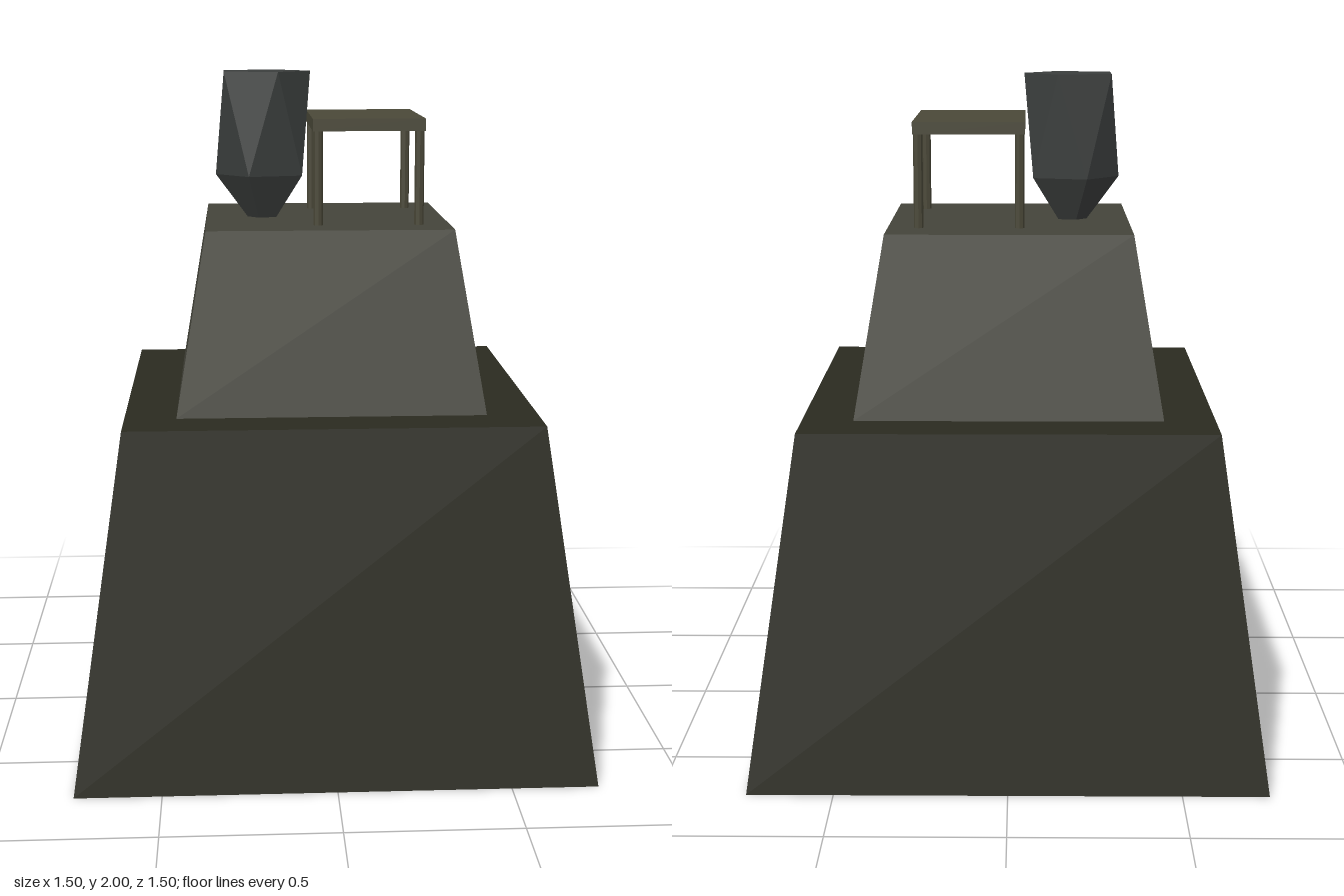
import * as THREE from 'three';
import { ConvexGeometry } from 'three/addons/geometries/ConvexGeometry.js';

const material = (color) => new THREE.MeshStandardMaterial({ color, flatShading: true });

function addMesh(parent, name, geometry, mat, x, y, z) {
  const mesh = new THREE.Mesh(geometry, mat);
  mesh.name = name;
  mesh.position.set(x, y, z);
  parent.add(mesh);
  return mesh;
}

// Square block tapering from half-width `bottom` to half-width `top`
function taperedBlock(bottom, top, height) {
  const r = Math.SQRT2;
  return new THREE.CylinderGeometry(top * r, bottom * r, height, 4, 1, false, Math.PI / 4);
}

// Faceted stone: two offset pentagons, flat on top, pointed below
function stoneGeometry(rx, rz, topY, midY, tipY) {
  const points = [new THREE.Vector3(0, tipY, 0)];
  for (let i = 0; i < 5; i++) {
    const a = (i / 5) * Math.PI * 2;
    points.push(new THREE.Vector3(Math.cos(a) * rx, topY, Math.sin(a) * rz));
    points.push(new THREE.Vector3(-Math.cos(a) * rx, midY, Math.sin(a) * rz));
  }
  return new ConvexGeometry(points);
}

export function createModel() {
  const model = new THREE.Group();
  model.name = 'steppedPedestal';

  // Stepped base
  addMesh(model, 'lowerBlock', taperedBlock(0.75, 0.6, 1.03), material(0x2a2a20), 0, 0.515, 0);
  addMesh(model, 'upperBlock', taperedBlock(0.45, 0.36, 0.53), material(0x44443a), 0, 1.295, 0);

  // Small table
  const table = new THREE.Group();
  table.name = 'table';
  table.position.set(0.119, 1.56, 0.009);
  model.add(table);
  const wood = material(0x4a4838);
  addMesh(table, 'tableTop', new THREE.BoxGeometry(0.33, 0.036, 0.472), wood, 0, 0.293, 0);
  const legGeometry = new THREE.CylinderGeometry(0.014, 0.014, 0.28, 8);
  for (const sx of [-1, 1]) {
    for (const sz of [-1, 1]) {
      addMesh(table, 'tableLeg', legGeometry, wood, sx * 0.149, 0.14, sz * 0.222);
    }
  }

  // Stone set into the upper block
  addMesh(model, 'stone', stoneGeometry(0.144, 0.11, 2.0, 1.69, 1.495), material(0x3a3d3c), -0.187, 0, 0);

  return model;
}
